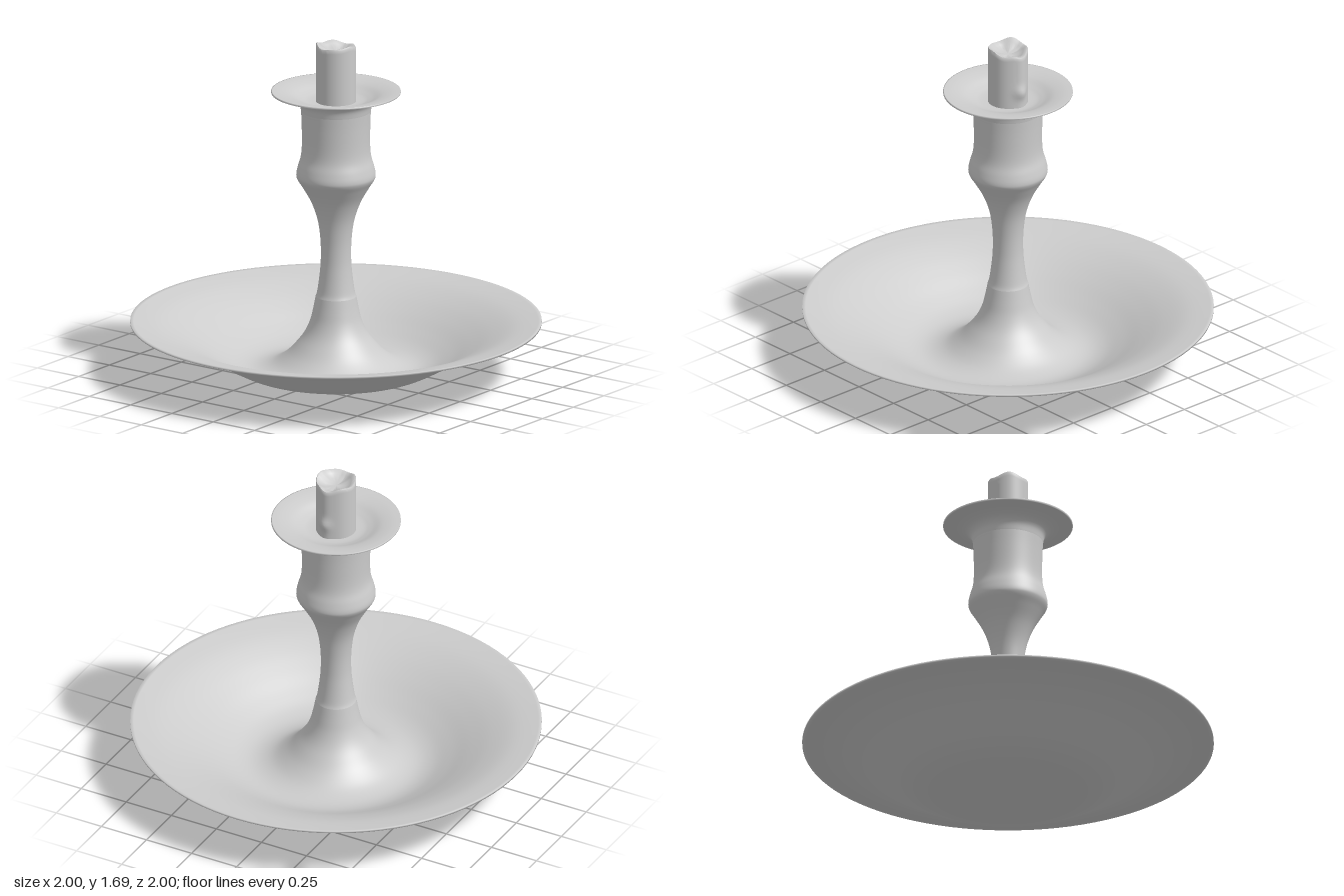
import * as THREE from 'three';
import { mergeVertices, toCreasedNormals } from 'three/addons/utils/BufferGeometryUtils.js';

const grey = new THREE.MeshStandardMaterial({ name: 'plain grey', color: 0xcccccc });

// Smooth run of [radius, height] points, sampled from a spline
function smooth(points, samples) {
  return new THREE.SplineCurve(points.map(([r, y]) => new THREE.Vector2(r, y)))
    .getPoints(samples)
    .map((p) => p.setX(Math.max(0, p.x)));
}

function turned(name, ...runs) {
  // joined runs keep a single copy of the point they share
  const profile = runs.flatMap((run, i) => (i ? run.slice(1) : run));
  const mesh = new THREE.Mesh(new THREE.LatheGeometry(profile, 96), grey);
  mesh.name = name;
  return mesh;
}

// Candle stub: a turned cylinder with an uneven hollow top and a wax run at +x
function candle() {
  const profile = [];
  for (let i = 0; i <= 20; i++) profile.push(new THREE.Vector2(0.098, 1.38 + 0.0145 * i));
  for (const [r, y] of [[0.094, 1.677], [0.086, 1.676], [0.074, 1.665], [0.05, 1.653], [0.025, 1.648], [0, 1.646]]) {
    profile.push(new THREE.Vector2(r, y));
  }
  let g = new THREE.LatheGeometry(profile, 64);
  const p = g.attributes.position;
  for (let i = 0; i < p.count; i++) {
    const x = p.getX(i), y = p.getY(i), z = p.getZ(i);
    const r = Math.hypot(x, z);
    const a = Math.atan2(z, x);
    // wavy rim, lowest where the wax spills over
    const lip = THREE.MathUtils.smoothstep(y, 1.55, 1.67) * Math.min(1, r / 0.09);
    const spill = Math.exp(-((a / 0.5) ** 2));
    const wave = 0.007 * Math.sin(3 * a + 2) + 0.004 * Math.sin(5 * a) + 0.005;
    p.setY(i, y + lip * (wave - 0.025 * spill));
    // wax run, swelling to a drop near its foot
    if (r > 0.09) {
      const run = 0.009 * Math.exp(-(((a - 0.08) / 0.35) ** 2));
      const drop = 0.013 * Math.exp(-(((a - 0.08) / 0.3) ** 2) - ((y - 1.475) / 0.03) ** 2);
      const k = 1 + (run + drop) / r;
      p.setX(i, x * k);
      p.setZ(i, z * k);
    }
  }
  g.deleteAttribute('uv');
  g.deleteAttribute('normal');
  g = toCreasedNormals(mergeVertices(g, 1e-5), 0.8);
  const mesh = new THREE.Mesh(g, grey);
  mesh.name = 'candle';
  return mesh;
}

export function createModel() {
  const group = new THREE.Group();
  group.name = 'candlestick';

  // Wide dish: underside, thin rim, inside and the flared foot of the stem
  const under = smooth([[0, 0.006], [0.14, 0.006], [0.27, 0.01], [0.36, 0.02], [0.46, 0.048], [0.56, 0.098],
    [0.66, 0.157], [0.76, 0.209], [0.87, 0.251], [1, 0.279]], 48);
  const rim = [new THREE.Vector2(1, 0.279), new THREE.Vector2(1, 0.289)];
  const inside = smooth([[1, 0.289], [0.87, 0.264], [0.76, 0.223], [0.66, 0.172], [0.56, 0.115], [0.47, 0.073],
    [0.39, 0.06], [0.31, 0.078], [0.24, 0.125], [0.185, 0.185], [0.15, 0.235], [0.126, 0.29],
    [0.111, 0.35], [0.099, 0.412]], 70);
  group.add(turned('dish', under, rim, inside));

  // Waisted stem with a swollen knop
  group.add(turned('stem', smooth([[0.099, 0.412], [0.091, 0.44], [0.08, 0.52], [0.074, 0.6], [0.076, 0.7],
    [0.09, 0.8], [0.121, 0.89], [0.163, 0.965], [0.188, 1.005], [0.193, 1.03], [0.185, 1.07],
    [0.171, 1.12], [0.166, 1.18], [0.167, 1.28], [0.17, 1.35]], 70)));

  // Socket opening into a shallow drip pan
  group.add(turned('dripPan',
    smooth([[0.17, 1.35], [0.178, 1.385], [0.2, 1.412], [0.24, 1.43], [0.28, 1.437], [0.315, 1.441]], 30),
    [new THREE.Vector2(0.315, 1.441), new THREE.Vector2(0.315, 1.449)],
    smooth([[0.315, 1.449], [0.27, 1.444], [0.22, 1.432], [0.17, 1.411], [0.12, 1.399], [0, 1.395]], 30)));

  group.add(candle());
  return group;
}
